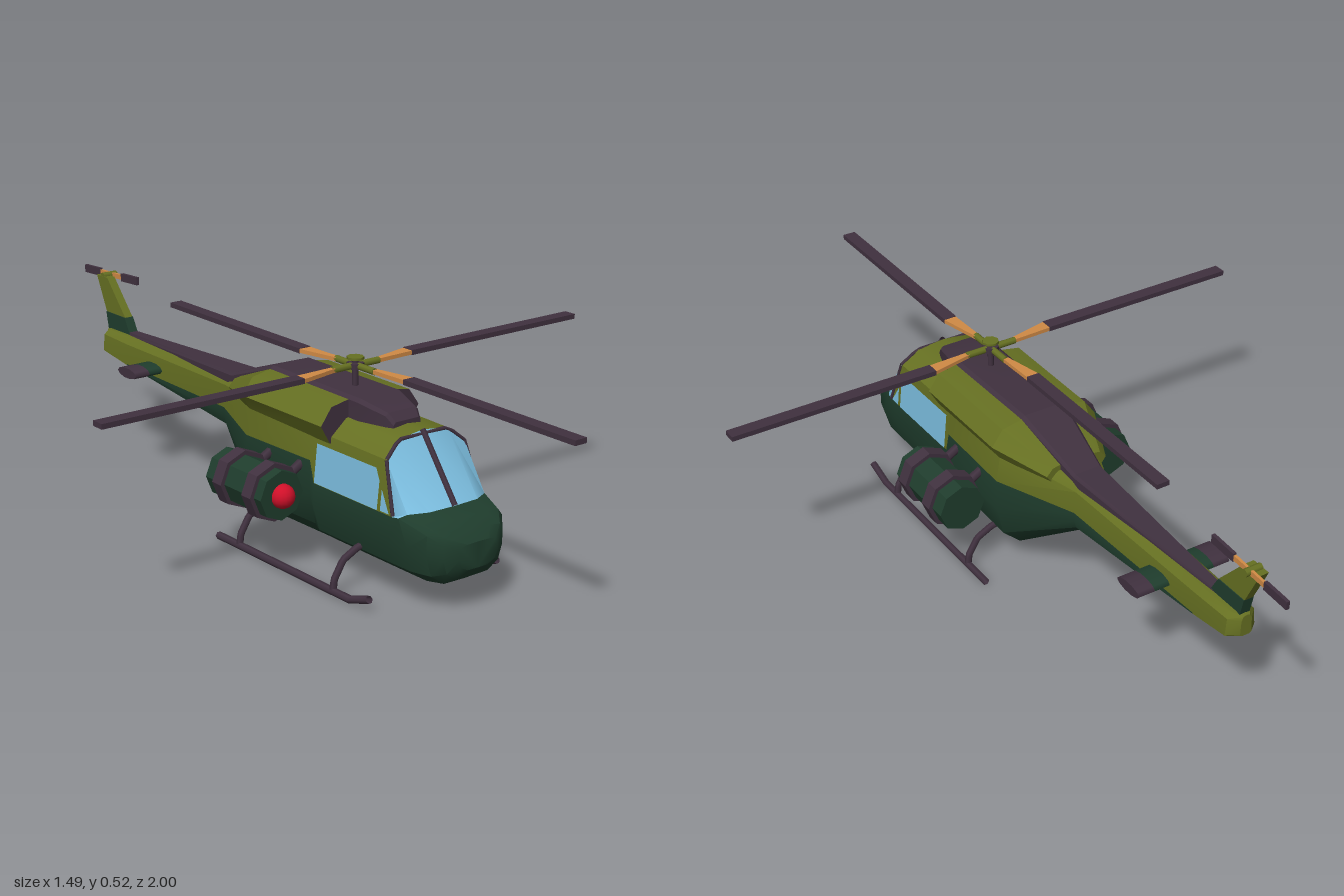
import * as THREE from 'three';
import { toCreasedNormals } from 'three/addons/utils/BufferGeometryUtils.js';

const material = (name, color) => {
  const m = new THREE.MeshStandardMaterial({ color, side: THREE.DoubleSide });
  m.name = name;
  return m;
};

export function createModel() {
  const model = new THREE.Group();
  model.name = 'helicopter';
  const green = material('dark green', 0x1f3d2d);
  const olive = material('olive', 0x667022);
  const purple = material('dark purple', 0x40313f);
  const glass = material('sky blue glass', 0x7abbdc);
  const orange = material('tan orange', 0xd08a45);
  const red = material('red', 0xd01029);

  const add = (name, geo, mat, parent = model) => {
    const mesh = new THREE.Mesh(geo, mat);
    mesh.name = name;
    parent.add(mesh);
  };
  const box = (w, h, d, x, y, z) => new THREE.BoxGeometry(w, h, d).translate(x, y, z);
  const V = (p) => new THREE.Vector3(...p);
  const V2 = (p) => new THREE.Vector2(...p);
  // straight-segment pipe through points
  const pipe = (name, pts, r, parent = model) => {
    const path = new THREE.CurvePath();
    for (let i = 1; i < pts.length; i++) path.add(new THREE.LineCurve3(V(pts[i - 1]), V(pts[i])));
    add(name, new THREE.TubeGeometry(path, 4 * (pts.length - 1), r, 6), purple, parent);
  };
  // side-profile plate: points are [z, y], centred on x = 0
  const sidePlate = (pts, width) =>
    new THREE.ExtrudeGeometry(new THREE.Shape(pts.map(V2)), { depth: width, bevelEnabled: false })
      .rotateY(-Math.PI / 2).translate(width / 2, 0, 0);

  // mirrored loft: sections run front to back, each a half outline of [x, y, z] from bottom to top
  const loft = (sections, pick, crease, frontMat = 0) => {
    const rings = sections.map((half) =>
      half.concat(half.slice(1, -1).reverse().map(([x, y, z]) => [-x, y, z])));
    const buckets = [];
    const put = (m, ...tri) => (buckets[m] ??= []).push(...tri.flat());
    const n = rings[0].length;
    for (let i = 0; i < rings.length - 1; i++) {
      for (let j = 0; j < n; j++) {
        const k = (j + 1) % n, A = rings[i], B = rings[i + 1];
        const m = pick(i, j < n / 2 ? j : n - 1 - j);
        put(m, A[j], B[j], B[k]);
        put(m, A[j], B[k], A[k]);
      }
    }
    const first = rings[0], last = rings[rings.length - 1];
    for (let j = 1; j < n - 1; j++) {
      put(frontMat, first[0], first[j], first[j + 1]);
      put(pick(rings.length - 2, n / 2 - 1), last[0], last[j + 1], last[j]);
    }
    const geo = new THREE.BufferGeometry();
    geo.setAttribute('position', new THREE.Float32BufferAttribute(buckets.flat(), 3));
    let start = 0;
    buckets.forEach((b, m) => {
      geo.addGroup(start, b.length / 3, m);
      start += b.length / 3;
    });
    return toCreasedNormals(geo, crease);
  };

  // Fuselage section: belly below the colour split, shoulders above it; sweep moves the upper points in z
  const section = ([z, w, bottom, split, top, sweep = () => z]) => {
    const low = [[0, 0], [0.52, 0.01], [0.87, 0.22], [1, 0.6]]
      .map(([u, h]) => [u * w, bottom + h * (split - bottom), z]);
    const high = [[1, 0], [0.9, 0.73], [0.56, 0.95], [0, 1]]
      .map(([u, h]) => [u * w, split + h * (top - split), sweep(u, h)]);
    return [...low, ...high];
  };
  // stations: z, half width, bottom, colour split, top
  const hull = [
    [0.708, 0.06, 0.115, 0.165, 0.18],
    [0.69, 0.092, 0.09, 0.185, 0.204],
    [0.66, 0.117, 0.072, 0.205, 0.226],
    [0.61, 0.134, 0.065, 0.228, 0.242, (u) => 0.624 - 0.045 * u ** 4],
    [0.54, 0.135, 0.065, 0.225, 0.398, (u, h) => 0.505 + 0.053 * (1 - h)],
    [0.265, 0.135, 0.065, 0.225, 0.402],
    [0.25, 0.135, 0.065, 0.28, 0.402],
    [0, 0.142, 0.065, 0.28, 0.4],
    [-0.22, 0.053, 0.22, 0.28, 0.362],
    [-0.7, 0.043, 0.277, 0.284, 0.36],
    [-0.82, 0.042, 0.292, 0.301, 0.359],
    [-0.843, 0.016, 0.298, 0.306, 0.355],
  ];
  add('fuselage', loft(hull.map(section), (i, band) => {
    if (i < 3 || band < 4) return i < 9 ? 0 : 1;
    return i === 3 ? 2 : 1;
  }, 0.6), [green, olive, glass]);

  // Engine cowling with dark intake front, shrinking towards the tail
  const cowl = (z, sx, sy) => [[0, 0], [0.125, 0], [0.153, 0.048], [0.122, 0.091], [0.06, 0.103], [0, 0.103]]
    .map(([x, h]) => [x * sx, 0.337 + h * sy, z]);
  add('engineCowling', loft([cowl(0.315, 1, 1), cowl(0, 1, 1), cowl(-0.15, 0.57, 0.45)], () => 0, 0.3, 1), [olive, purple]);

  // Dark spine from the rotor pylon to the fin: z, half width, base, top
  const spine = [[0.45, 0.042, 0.39, 0.408], [0.43, 0.05, 0.39, 0.428], [0.35, 0.07, 0.39, 0.446], [0, 0.066, 0.38, 0.447],
    [-0.2, 0.042, 0.34, 0.377], [-0.5, 0.026, 0.34, 0.37], [-0.83, 0.01, 0.34, 0.362]];
  add('spine', loft(spine.map(([z, w, b, t]) =>
    [[0, b, z], [w, b, z], [w, t - 0.008, z], [w * 0.85, t, z], [0, t, z]]), () => 0, 0.3), [purple]);

  // Windscreen centre post and roof edge
  pipe('windscreenCentrePost', [[0, 0.242, 0.624], [0, 0.398, 0.505]], 0.008);
  pipe('windscreenRoofEdge', [[-0.121, 0.351, 0.519], [-0.076, 0.389, 0.508], [0.076, 0.389, 0.508], [0.121, 0.351, 0.519]], 0.005);

  // Flat side panes following the slope of the cabin wall: points are [z, y]
  const pane = (name, s, pts) => {
    const wall = pts.map(([z, y]) => [s * (0.139 - 0.1 * (y - 0.225)), y, z]);
    const geo = new THREE.BufferGeometry().setFromPoints(wall.map(V));
    const idx = [];
    for (let i = 1; i < pts.length - 1; i++) idx.push(0, s > 0 ? i : i + 1, s > 0 ? i + 1 : i);
    geo.setIndex(idx);
    geo.computeVertexNormals();
    add(name, geo, glass);
  };

  for (const s of [1, -1]) {
    const side = s > 0 ? 'left' : 'right';
    pane(side + 'CabinWindow', s, [[0.507, 0.228], [0.27, 0.228], [0.27, 0.327], [0.492, 0.327], [0.507, 0.3]]);
    pane(side + 'QuarterWindow', s, [[0.55, 0.23], [0.518, 0.23], [0.518, 0.282]]);
    pipe(side + 'WindscreenSidePost', [[s * 0.135, 0.228, 0.56], [s * 0.121, 0.351, 0.519]], 0.005);

    // Landing skid and legs
    pipe(side + 'Skid', [[s * 0.202, 0.036, 0.56], [s * 0.202, 0.013, 0.505], [s * 0.202, 0.012, -0.04]], 0.01);
    for (const z of [0.425, 0.05]) {
      pipe(side + 'SkidLeg', [[s * 0.09, 0.115, z], [s * 0.13, 0.106, z], [s * 0.172, 0.085, z], [s * 0.198, 0.042, z], [s * 0.202, 0.012, z]], 0.009);
    }

    // Side pod: octagonal body, bands, mounts and red nose
    const pod = new THREE.Group();
    pod.name = side + 'Pod';
    pod.position.set(s * 0.225, 0.21, 0);
    model.add(pod);
    const drum = (r, len, z) => toCreasedNormals(
      new THREE.CylinderGeometry(r, r, len, 8).rotateX(Math.PI / 2).translate(0, 0, z), 0.3);
    add('podBody', drum(0.064, 0.225, 0.143), green, pod);
    for (const z of [0.09, 0.21]) {
      add('podBand', drum(0.075, 0.036, z), purple, pod);
      pipe('podMount', [[-s * 0.1, 0.055, z], [-s * 0.04, 0.02, z]], 0.012, pod);
    }
    add('podNose', new THREE.SphereGeometry(0.031, 16, 10).translate(0, 0, 0.259), red, pod);

    // Tailplane with dark tips
    const wing = (from, to) => new THREE.CylinderGeometry(0.045, 0.045, to - from, 10)
      .rotateZ(Math.PI / 2).scale(1, 0.32, 1).translate(s * (from + to) / 2, 0.305, -0.565);
    add(side + 'Tailplane', wing(0.02, 0.085), green);
    add(side + 'TailplaneTip', wing(0.085, 0.13), purple);
  }

  // Tail fin in two colours
  add('finBase', sidePlate([[-0.72, 0.35], [-0.75, 0.402], [-0.845, 0.402], [-0.833, 0.35]], 0.028), green);
  add('finUpper', sidePlate([[-0.75, 0.402], [-0.838, 0.5], [-0.892, 0.5], [-0.845, 0.402]], 0.024), olive);

  // Tail rotor
  const tailRotor = new THREE.Group();
  tailRotor.name = 'tailRotor';
  tailRotor.position.set(0.02, 0.5, -0.865);
  tailRotor.rotation.x = -0.05;
  model.add(tailRotor);
  add('tailRotorHub', new THREE.CylinderGeometry(0.01, 0.01, 0.045, 8).rotateZ(Math.PI / 2).translate(-0.008, 0, 0), olive, tailRotor);
  for (const s of [1, -1]) {
    add('tailBladeRoot', box(0.007, 0.014, 0.055, 0, 0, s * 0.027), orange, tailRotor);
    add('tailBlade', box(0.009, 0.022, 0.08, 0, 0, s * 0.095), purple, tailRotor);
  }

  // Main rotor: mast, hub and four blades
  const rotor = new THREE.Group();
  rotor.name = 'mainRotor';
  rotor.position.set(0, 0.497, 0.255);
  model.add(rotor);
  add('mast', new THREE.CylinderGeometry(0.008, 0.008, 0.08, 8).translate(0, -0.02, 0), purple, rotor);
  add('hub', new THREE.CylinderGeometry(0.022, 0.022, 0.014, 8), purple, rotor);
  add('mastCap', new THREE.CylinderGeometry(0.022, 0.022, 0.006, 8).translate(0, 0.019, 0), olive, rotor);
  const rootShape = new THREE.Shape([[0.06, -0.006], [0.18, -0.002], [0.18, 0.032], [0.06, 0.006]].map(V2));
  for (let k = 0; k < 4; k++) {
    const blade = new THREE.Group();
    blade.name = 'rotorBlade';
    blade.rotation.y = k * Math.PI / 2;
    rotor.add(blade);
    add('bladeGrip', new THREE.CylinderGeometry(0.009, 0.009, 0.06, 8).rotateZ(Math.PI / 2).translate(0.043, 0, 0), olive, blade);
    add('bladeRoot', new THREE.ExtrudeGeometry(rootShape, { depth: 0.01, bevelEnabled: false })
      .rotateX(-Math.PI / 2).translate(0, -0.005, 0), orange, blade);
    add('bladeOuter', box(0.566, 0.013, 0.035, 0.463, 0, -0.015), purple, blade);
  }
  return model;
}
